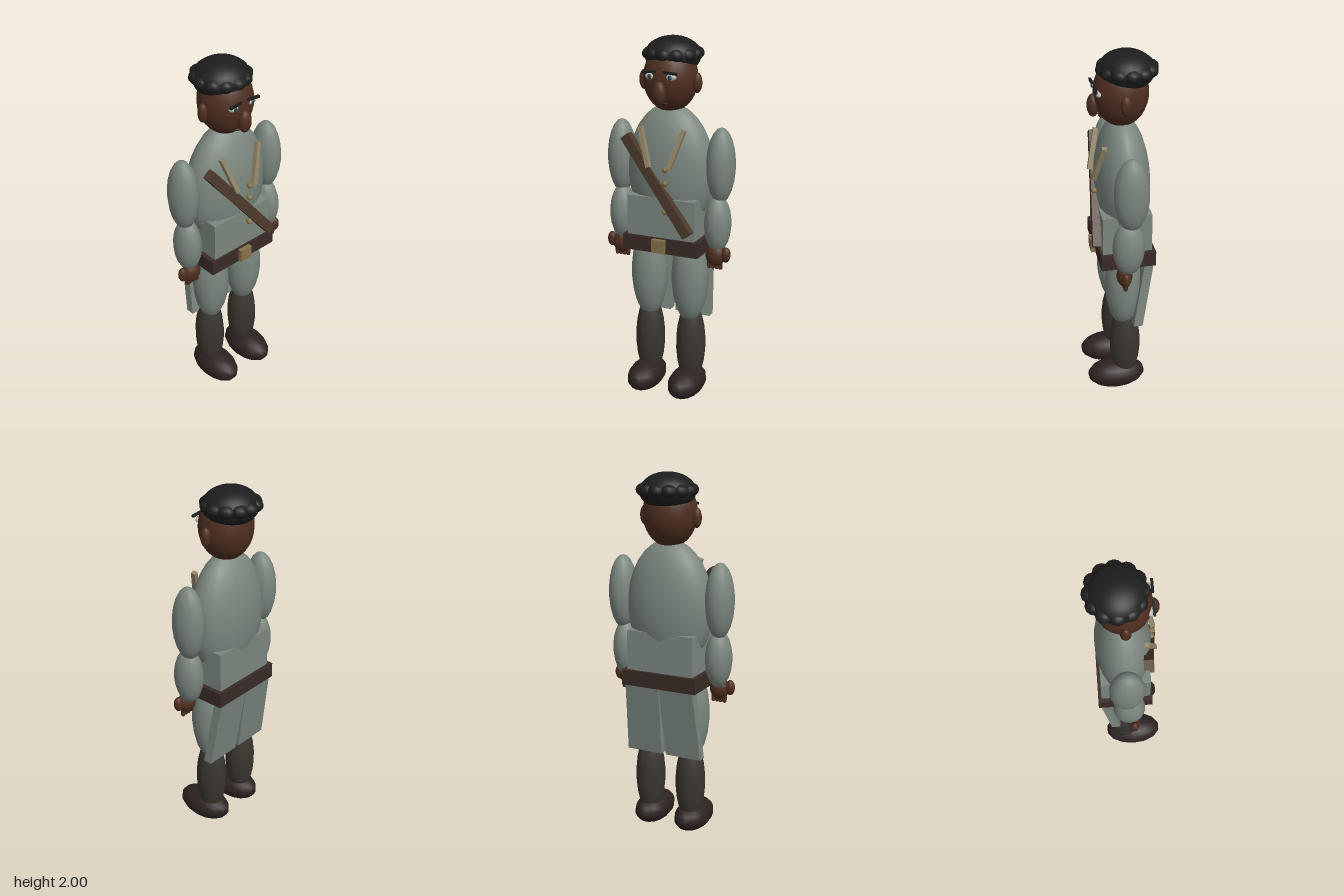
import * as THREE from 'three';

const mat = (color) => new THREE.MeshStandardMaterial({ color });
const M = {
  coat: mat(0x7b877f), skin: mat(0x4e2e20), hair: mat(0x1d1d1e), boot: mat(0x2c2220),
  sock: mat(0x3a352f), belt: mat(0x3a2b26), strap: mat(0x4c392a), brass: mat(0x86714a),
  trim: mat(0x94876a), eye: mat(0xb9bcb4), iris: mat(0x2c4a50), mouth: mat(0x3a1c18),
};

export function createModel() {
  const root = new THREE.Group();
  const add = (name, geo, material, pos, parent = root) => {
    const mesh = new THREE.Mesh(geo, material);
    mesh.name = name;
    mesh.position.set(...pos);
    parent.add(mesh);
    return mesh;
  };
  // Ellipsoid with its pole along y
  const ball = (name, material, pos, r, parent, seg = 14) =>
    add(name, new THREE.SphereGeometry(1, seg, Math.round(seg * 0.75)).scale(...r), material, pos, parent);
  const box = (name, material, pos, size, parent) =>
    add(name, new THREE.BoxGeometry(...size), material, pos, parent);
  // Flat strip running from a to b, its face turned to the front
  const strip = (name, material, a, b, width, depth) => {
    const p = new THREE.Vector3(...a), q = new THREE.Vector3(...b);
    const y = p.clone().sub(q).normalize();
    const x = new THREE.Vector3().crossVectors(y, new THREE.Vector3(0, 0, 1)).normalize();
    const z = new THREE.Vector3().crossVectors(x, y);
    const mid = p.clone().add(q).multiplyScalar(0.5);
    const mesh = box(name, material, mid.toArray(), [width, p.distanceTo(q), depth]);
    mesh.quaternion.setFromRotationMatrix(new THREE.Matrix4().makeBasis(x, y, z));
  };

  // Jacket
  ball('torso', M.coat, [0, 1.29, -0.015], [0.245, 0.36, 0.146], root, 20);
  box('jacketWaist', M.coat, [0, 1.02, -0.01], [0.39, 0.28, 0.265]);
  box('belt', M.belt, [0, 0.9, -0.013], [0.44, 0.085, 0.295]);
  box('buckle', M.brass, [0, 0.902, 0.14], [0.075, 0.072, 0.04]);
  strip('chestStrap', M.strap, [-0.21, 1.48, 0.1], [0.175, 0.985, 0.153], 0.055, 0.045);
  for (const y of [1.325, 1.25, 1.175, 1.095])
    ball('button', M.brass, [0.035, y, 0.138], [0.016, 0.016, 0.018], root, 10);

  for (const s of [1, -1]) {
    const side = s > 0 ? 'left' : 'right';
    strip(side + 'Lapel', M.trim, [s * 0.125, 1.535, 0.098], [s * 0.058, 1.33, 0.145], 0.024, 0.026);

    // Arm and hand
    const arm = new THREE.Group();
    arm.name = side + 'Arm';
    root.add(arm);
    ball('upperArm', M.coat, [s * 0.29, 1.34, -0.01], [0.076, 0.205, 0.093], arm);
    ball('forearm', M.coat, [s * 0.282, 1.025, 0.003], [0.071, 0.16, 0.085], arm);
    ball('palm', M.skin, [s * 0.28, 0.855, 0.025], [0.055, 0.06, 0.042], arm);
    ball('thumb', M.skin, [s * 0.341, 0.865, 0.028], [0.026, 0.042, 0.024], arm);
    for (let i = 0; i < 4; i++)
      add('finger', new THREE.CapsuleGeometry(0.012, 0.05, 3, 8), M.skin,
        [s * (0.245 + i * 0.022), 0.813, 0.025], arm);

    // Leg and boot
    const leg = new THREE.Group();
    leg.name = side + 'Leg';
    root.add(leg);
    ball('thigh', M.coat, [s * 0.122, 0.7, 0], [0.102, 0.27, 0.1], leg);
    ball('calf', M.sock, [s * 0.125, 0.3, -0.01], [0.082, 0.25, 0.086], leg);
    ball('boot', M.boot, [s * 0.125, 0.083, 0.04], [0.096, 0.083, 0.165], leg);

    // Coat tail: a flared panel slanting forward towards its hem
    const tail = new THREE.Shape([[0, 0.9], [0.2, 0.9], [0.222, 0.465], [0.014, 0.465]]
      .map(([x, y]) => new THREE.Vector2(s * x, y)));
    const geo = new THREE.ExtrudeGeometry(tail, { depth: 0.05, bevelEnabled: false });
    const p = geo.attributes.position;
    for (let i = 0; i < p.count; i++)
      p.setZ(i, p.getZ(i) - 0.092 - (p.getY(i) - 0.465) * 0.155);
    geo.computeVertexNormals();
    add(side + 'CoatTail', geo, M.coat, [0, 0, 0]);
  }

  // Head and face
  const head = new THREE.Group();
  head.name = 'head';
  root.add(head);
  ball('skull', M.skin, [0, 1.785, -0.012], [0.146, 0.18, 0.143], head, 24);
  ball('nose', M.skin, [0, 1.722, 0.132], [0.037, 0.062, 0.032], head);
  ball('mouth', M.mouth, [0, 1.664, 0.094], [0.035, 0.008, 0.012], head);
  for (const s of [1, -1]) {
    ball('ear', M.skin, [s * 0.153, 1.767, -0.008], [0.025, 0.053, 0.028], head);
    ball('eye', M.eye, [s * 0.057, 1.805, 0.113], [0.031, 0.017, 0.016], head);
    ball('iris', M.iris, [s * 0.057, 1.805, 0.124], [0.012, 0.013, 0.008], head);
    box('eyebrow', M.hair, [s * 0.059, 1.829, 0.13], [0.074, 0.012, 0.013], head).rotation.z = -s * 0.1;
  }

  // Hair: a dome ringed with curls
  ball('hairDome', M.hair, [0, 1.9, -0.04], [0.15, 0.1, 0.145], head, 24);
  const curls = 12;
  for (let i = 0; i < curls; i++) {
    const a = (i / curls) * Math.PI * 2;
    ball('curl', M.hair, [Math.sin(a) * 0.118, 1.908, -0.044 + Math.cos(a) * 0.115],
      [0.047, 0.037, 0.047], head, 12);
  }
  return root;
}
